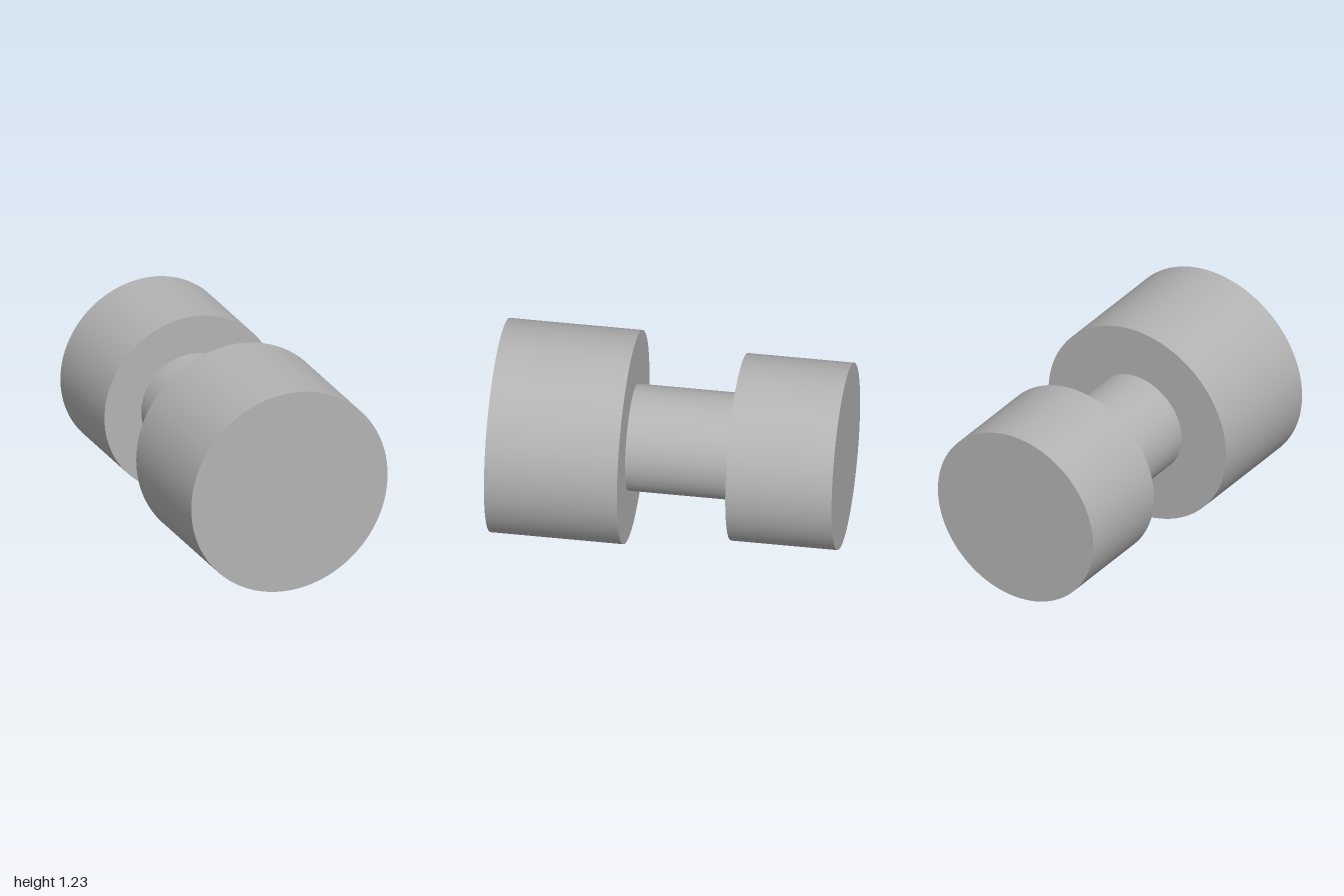
import * as THREE from 'three';

export function createModel() {
  const group = new THREE.Group();
  group.name = 'stud';
  const grey = new THREE.MeshStandardMaterial({ color: 0xb3b3b3 });
  grey.name = 'plain grey';

  const unit = 2 / 26; // the stud is 26 units long
  const axisY = 8 * unit; // height of the shared axis

  // Cylinder along z, measured in units from the back end
  function addCylinder(name, radius, start, length) {
    const geometry = new THREE.CylinderGeometry(radius * unit, radius * unit, length * unit, 96);
    geometry.rotateX(Math.PI / 2);
    const mesh = new THREE.Mesh(geometry, grey);
    mesh.name = name;
    mesh.position.set(0, axisY, -1 + (start + length / 2) * unit);
    group.add(mesh);
  }

  addCylinder('backHead', 7, 0, 8);
  addCylinder('neck', 4, 8, 8);
  addCylinder('frontHead', 8, 16, 10);

  return group;
}
